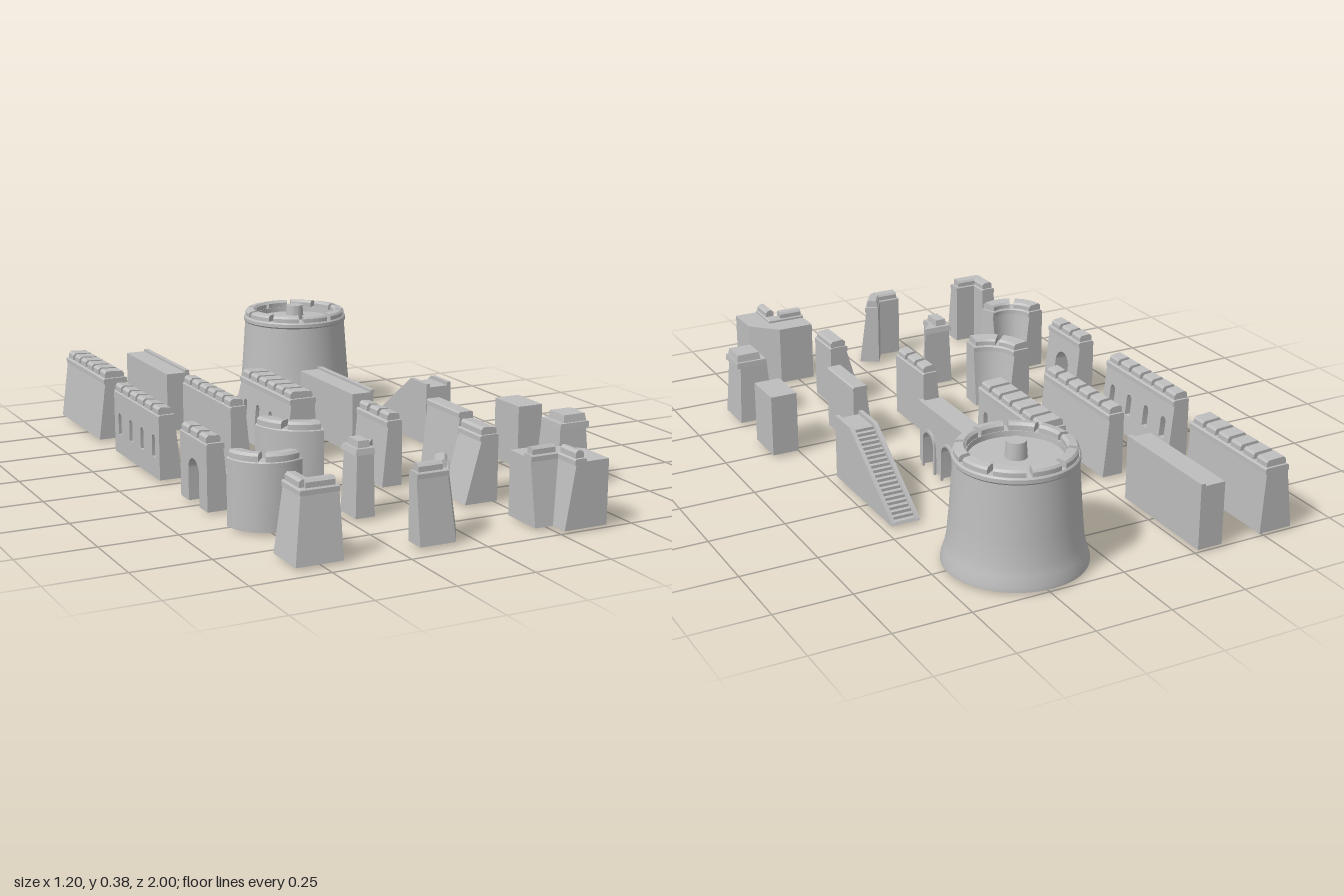
import * as THREE from 'three';
import { toCreasedNormals, mergeGeometries } from 'three/addons/utils/BufferGeometryUtils.js';

const stone = new THREE.MeshStandardMaterial({ color: 0xbdbdbd, side: THREE.DoubleSide });
stone.name = 'stone';
const BASE = 0.008, TOP = 0.205, LIP = 0.222, CREST = 0.246;

function add(group, name, geo) {
  const flat = geo.index ? geo.toNonIndexed() : geo;
  const mesh = new THREE.Mesh(toCreasedNormals(flat, 0.6), stone);
  mesh.name = name;
  group.add(mesh);
  return mesh;
}

function box(group, name, x0, x1, y0, y1, z0, z1) {
  const g = new THREE.BoxGeometry(x1 - x0, y1 - y0, z1 - z0);
  g.translate((x0 + x1) / 2, (y0 + y1) / 2, (z0 + z1) / 2);
  return add(group, name, g);
}

// Sweep a section of [offset, y] along a ground path of [x, z], mitred at bends
function sweep(path, section, closed = false) {
  const dirs = path.slice(1).map((p, i) => new THREE.Vector2(p[0] - path[i][0], p[1] - path[i][1]).normalize());
  const rings = path.map((p, i) => {
    const a = dirs[Math.max(0, i - 1)], b = dirs[Math.min(i, dirs.length - 1)];
    const d = a.clone().add(b).normalize();
    const k = 1 / d.dot(a);
    return section.map(([o, y]) => [p[0] + d.y * o * k, y, p[1] - d.x * o * k]);
  });
  const v = [], n = section.length;
  for (let i = 0; i < rings.length - 1; i++) {
    for (let j = 0; j < (closed ? n : n - 1); j++) {
      const k = (j + 1) % n, A = rings[i][j], B = rings[i][k], C = rings[i + 1][k], D = rings[i + 1][j];
      v.push(...A, ...C, ...B, ...A, ...D, ...C);
    }
  }
  const caps = THREE.ShapeUtils.triangulateShape(section.map((s) => new THREE.Vector2(...s)), []);
  const last = rings[rings.length - 1];
  for (const [a, b, c] of caps) {
    v.push(...rings[0][a], ...rings[0][b], ...rings[0][c], ...last[a], ...last[c], ...last[b]);
  }
  const g = new THREE.BufferGeometry();
  g.setAttribute('position', new THREE.Float32BufferAttribute(v, 3));
  g.computeVertexNormals();
  return g;
}

// Part of a path between two distances along it
function cut(path, s0, s1) {
  const out = [];
  let s = 0;
  for (let i = 0; i < path.length - 1; i++) {
    const [a, b] = [path[i], path[i + 1]];
    const len = Math.hypot(b[0] - a[0], b[1] - a[1]);
    const at = (t) => [a[0] + (b[0] - a[0]) * t, a[1] + (b[1] - a[1]) * t];
    if (s0 >= s && s0 < s + len) out.push(at((s0 - s) / len));
    if (s1 > s && s1 <= s + len) out.push(at((s1 - s) / len));
    else if (s1 > s + len && s0 < s + len) out.push(b);
    s += len;
  }
  return out;
}
const pathLength = (p) => p.slice(1).reduce((s, q, i) => s + Math.hypot(q[0] - p[i][0], q[1] - p[i][1]), 0);

function merlons(group, path, lo, hi, count, yLo = LIP - 0.002, yHi = CREST) {
  const step = (pathLength(path) - 0.002) / count, gap = count > 1 ? 0.016 : 0.01;
  const section = [[lo, yLo], [lo, yHi - 0.008], [lo + 0.008, yHi], [hi - 0.006, yHi - 0.003], [hi, yHi - 0.01], [hi, yLo]];
  const parts = [];
  for (let i = 0; i < count; i++) {
    parts.push(sweep(cut(path, i * step + gap / 2, (i + 1) * step - gap / 2), section, true));
  }
  add(group, 'merlons', mergeGeometries(parts));
}

// Battered wall with lip and merlons; a and b are the slopes of its two sides
function wall(root, name, path, w, a, b, count, openings) {
  const g = new THREE.Group();
  g.name = name;
  root.add(g);
  const lo = -w / 2 + a, hi = w / 2 - b;
  if (openings) {
    const [[x, z0], [, z1]] = path;
    const s = new THREE.Shape();
    s.moveTo(z0, BASE);
    openings(s, z0, z1);
    s.lineTo(z1, BASE).lineTo(z1, TOP).lineTo(z0, TOP).closePath();
    const geo = new THREE.ExtrudeGeometry(s, { depth: w, bevelEnabled: false, curveSegments: 10 });
    const p = geo.attributes.position;
    for (let i = 0; i < p.count; i++) {
      const t = (p.getY(i) - BASE) / (TOP - BASE);
      const off = p.getZ(i) > w / 2 ? w / 2 - b * t : -w / 2 + a * t;
      p.setXYZ(i, x + off, p.getY(i), p.getX(i));
    }
    geo.computeVertexNormals();
    add(g, 'body', geo);
  } else {
    add(g, 'body', sweep(path, [[-w / 2, BASE], [lo, TOP], [hi, TOP], [w / 2, BASE]]));
  }
  const e = 0.004, l = a > 0 ? lo - e : lo, h = b > 0 ? hi + e : hi;
  add(g, 'lip', sweep(path, [[l, TOP - 0.002], [l, LIP - 0.004], [l + 0.004, LIP], [h - 0.004, LIP], [h, LIP - 0.004], [h, TOP - 0.002]], true));
  if (count) merlons(g, path, lo + 0.003, hi - 0.004, count);
  return g;
}
const alongZ = (x0, x1, z0, z1) => [[(x0 + x1) / 2, z0], [(x0 + x1) / 2, z1]];
const arc = (cx, cz, r, a0, a1, n = 12) => Array.from({ length: n + 1 }, (_, i) => {
  const t = a0 + (a1 - a0) * i / n;
  return [cx + r * Math.cos(t), cz + r * Math.sin(t)];
});

// Upright block over a ground outline, shrinking towards its middle
function prism(outline, y0, y1, taper = 1) {
  const s = new THREE.Shape(outline.map(([x, z]) => new THREE.Vector2(x, -z)));
  const g = new THREE.ExtrudeGeometry(s, { depth: y1 - y0, bevelEnabled: false });
  g.rotateX(-Math.PI / 2).translate(0, y0, 0);
  g.computeBoundingBox();
  const c = g.boundingBox.getCenter(new THREE.Vector3()), p = g.attributes.position;
  for (let i = 0; i < p.count; i++) {
    if (p.getY(i) < (y0 + y1) / 2) continue;
    p.setX(i, c.x + (p.getX(i) - c.x) * taper);
    p.setZ(i, c.z + (p.getZ(i) - c.z) * taper);
  }
  g.computeVertexNormals();
  return g;
}

// Row of arched window slits
function slits(s, z0, z1) {
  for (let i = 0; i < 4; i++) {
    const z = z0 + (z1 - z0) * (i + 0.5) / 4, r = 0.014, h = new THREE.Path();
    h.moveTo(z - r, 0.075).lineTo(z + r, 0.075).lineTo(z + r, 0.135);
    h.absarc(z, 0.135, r, 0, Math.PI, false);
    h.closePath();
    s.holes.push(h);
  }
}
const arch = (s, z, r, y) => s.lineTo(z - r, BASE).lineTo(z - r, y).absarc(z, y, r, Math.PI, 0, true).lineTo(z + r, BASE);

function tower(root) {
  const g = new THREE.Group(), cx = 0.24, cz = -0.78;
  g.name = 'roundTower';
  root.add(g);
  const profile = [[0.221, 0.008], [0.22, 0.022], [0.211, 0.05], [0.203, 0.085], [0.196, 0.16], [0.184, 0.328], [0.188, 0.333],
    [0.188, 0.345], [0.184, 0.35], [0.143, 0.35], [0.142, 0.333], [0, 0.333]].map((p) => new THREE.Vector2(...p));
  add(g, 'towerBody', new THREE.LatheGeometry(profile, 48).translate(cx, 0, cz));
  merlons(g, arc(cx, cz, 0.164, 0, Math.PI * 2, 60), -0.019, 0.018, 10, 0.348, 0.374);
  add(g, 'knob', new THREE.CylinderGeometry(0.03, 0.034, 0.052, 20).translate(cx, 0.359, cz));
}

function arcade(root) {
  const g = new THREE.Group(), x1 = 0.18;
  g.name = 'arcadeWall';
  root.add(g);
  box(g, 'backing', 0.1, 0.15, BASE, 0.215, -0.44, -0.04);
  const s = new THREE.Shape();
  s.moveTo(-0.44, BASE);
  const centres = [-0.37, -0.24, -0.11];
  centres.forEach((z) => arch(s, z, 0.036, 0.095));
  s.lineTo(-0.04, BASE).lineTo(-0.04, 0.215).lineTo(-0.44, 0.215).closePath();
  const place = (geo, x) => geo.applyMatrix4(new THREE.Matrix4().set(0, 0, 1, x, 0, 1, 0, 0, 1, 0, 0, 0, 0, 0, 0, 1));
  add(g, 'archedFace', place(new THREE.ExtrudeGeometry(s, { depth: x1 - 0.15, bevelEnabled: false }), 0.15));
  // Raised arch surrounds
  for (const z of centres) {
    const f = new THREE.Shape();
    f.moveTo(z - 0.036, 0).lineTo(z - 0.046, 0).lineTo(z - 0.046, 0.095).absarc(z, 0.095, 0.046, Math.PI, 0, true);
    f.lineTo(z + 0.046, 0).lineTo(z + 0.036, 0).lineTo(z + 0.036, 0.095).absarc(z, 0.095, 0.036, 0, Math.PI, false);
    f.closePath();
    add(g, 'archSurround', place(new THREE.ExtrudeGeometry(f, { depth: 0.008, bevelEnabled: false }), x1 - 0.001));
  }
  box(g, 'ledge', 0.168, 0.185, 0.213, 0.223, -0.44, -0.04);
}

function stairs(root) {
  const g = new THREE.Group();
  g.name = 'stairRamp';
  root.add(g);
  const side = (drop, steps) => {
    const s = new THREE.Shape();
    s.moveTo(-0.03, BASE).lineTo(-0.03, 0.222 - drop).lineTo(-0.14, 0.222 - drop);
    const dz = 0.29 / steps, dy = (0.204 - drop) / steps;
    for (let i = 1; i <= steps; i++) {
      if (drop) s.lineTo(-0.14 - dz * (i - 1), 0.222 - drop - dy * i);
      s.lineTo(-0.14 - dz * i, 0.222 - drop - dy * i);
    }
    s.lineTo(-0.435, BASE).closePath();
    return s;
  };
  const part = (name, shape, x, depth) => add(g, name, new THREE.ExtrudeGeometry(shape, { depth, bevelEnabled: false })
    .applyMatrix4(new THREE.Matrix4().set(0, 0, 1, x, 0, 1, 0, 0, 1, 0, 0, 0, 0, 0, 0, 1)));
  part('steps', side(0.012, 20), 0.394, 0.068);
  part('curb', side(0, 1), 0.38, 0.014);
  part('curb', side(0, 1), 0.462, 0.014);
}

export function createModel() {
  const root = new THREE.Group();
  root.name = 'castleWallSet';
  tower(root);
  arcade(root);
  stairs(root);

  // Long walls
  wall(root, 'thickWall', alongZ(-0.6, -0.485, -1, -0.6), 0.115, 0.026, 0.012, 6);
  wall(root, 'slitWall', alongZ(-0.6, -0.525, -0.44, -0.03), 0.075, 0, 0.02, 6, slits);
  wall(root, 'longWall', alongZ(-0.35, -0.277, -0.44, -0.03), 0.073, 0, 0.02, 6);
  wall(root, 'thickSlitWall', alongZ(-0.15, -0.035, -0.44, -0.035), 0.115, 0.02, 0.008, 6, slits);
  box(root, 'plainWall', -0.345, -0.26, BASE, 0.215, -1, -0.6);
  box(root, 'plainWallLedge', -0.276, -0.26, 0.213, 0.223, -1, -0.6);
  box(root, 'plainBlock', 0.505, 0.595, BASE, 0.215, 0.215, 0.36);

  // Short walls
  wall(root, 'gateWall', alongZ(-0.6, -0.525, 0.15, 0.36), 0.075, 0, 0.02, 3, (s) => arch(s, 0.255, 0.042, 0.11));
  wall(root, 'shortWall', alongZ(0, 0.07, 0.15, 0.36), 0.07, 0.02, 0, 3);
  wall(root, 'lowWall', alongZ(0.26, 0.33, 0.15, 0.36), 0.07, 0.022, 0, 0);
  wall(root, 'buttressWall', alongZ(0.135, 0.25, 0.51, 0.645), 0.115, 0.055, 0, 1);

  // Curved and angled corners, outer side facing front and right
  wall(root, 'curvedCorner', arc(-0.2, 0.19, 0.123, Math.PI, Math.PI / 2), 0.084, 0, 0.022, 2).rotation.y = 0;
  wall(root, 'wideCurvedCorner', arc(-0.47, 0.505, 0.09, Math.PI, Math.PI * 0.37).concat([[-0.42, 0.582]]), 0.08, 0, 0.024, 2);
  wall(root, 'squareCorner', [[-0.547, 0.8], [-0.547, 0.907], [-0.435, 0.907]], 0.076, 0.03, 0, 2);
  wall(root, 'bentCorner', [[-0.19, 0.907], [-0.092, 0.907], [-0.044, 0.825]], 0.07, 0.026, 0, 2);

  // Tapered pier
  const rect = (x0, x1, z0, z1) => [[x0, z0], [x1, z0], [x1, z1], [x0, z1]];
  add(root, 'pier', prism(rect(0.47, 0.59, 0.515, 0.65), BASE, TOP, 0.8));
  add(root, 'pierLip', prism(rect(0.482, 0.59, 0.528, 0.638), TOP - 0.002, LIP, 0.97));
  add(root, 'pierCap', prism(rect(0.5, 0.585, 0.538, 0.628), LIP - 0.002, CREST, 0.9));

  // Splayed end piece
  const splay = [[-0.23, 0.52], [-0.12, 0.52], [-0.165, 0.575], [-0.165, 0.62], [-0.23, 0.62]];
  add(root, 'splayedEnd', prism(splay, BASE, TOP, 0.86));
  add(root, 'splayedEndLip', prism(splay, TOP - 0.002, LIP, 0.92));
  add(root, 'splayedEndCap', prism(rect(-0.215, -0.175, 0.535, 0.605), LIP - 0.002, 0.243, 0.9));

  // Inner corner: chamfered platform behind a bent parapet
  const platform = [[0.2, 0.79], [0.325, 0.79], [0.41, 0.875], [0.41, 1], [0.31, 1], [0.31, 0.89], [0.2, 0.89]];
  add(root, 'cornerPlatform', prism(platform, BASE, 0.212));
  wall(root, 'innerCornerParapet', [[0.2, 0.903], [0.297, 0.903], [0.297, 1]], 0.07, 0.034, 0, 2);
  return root;
}
